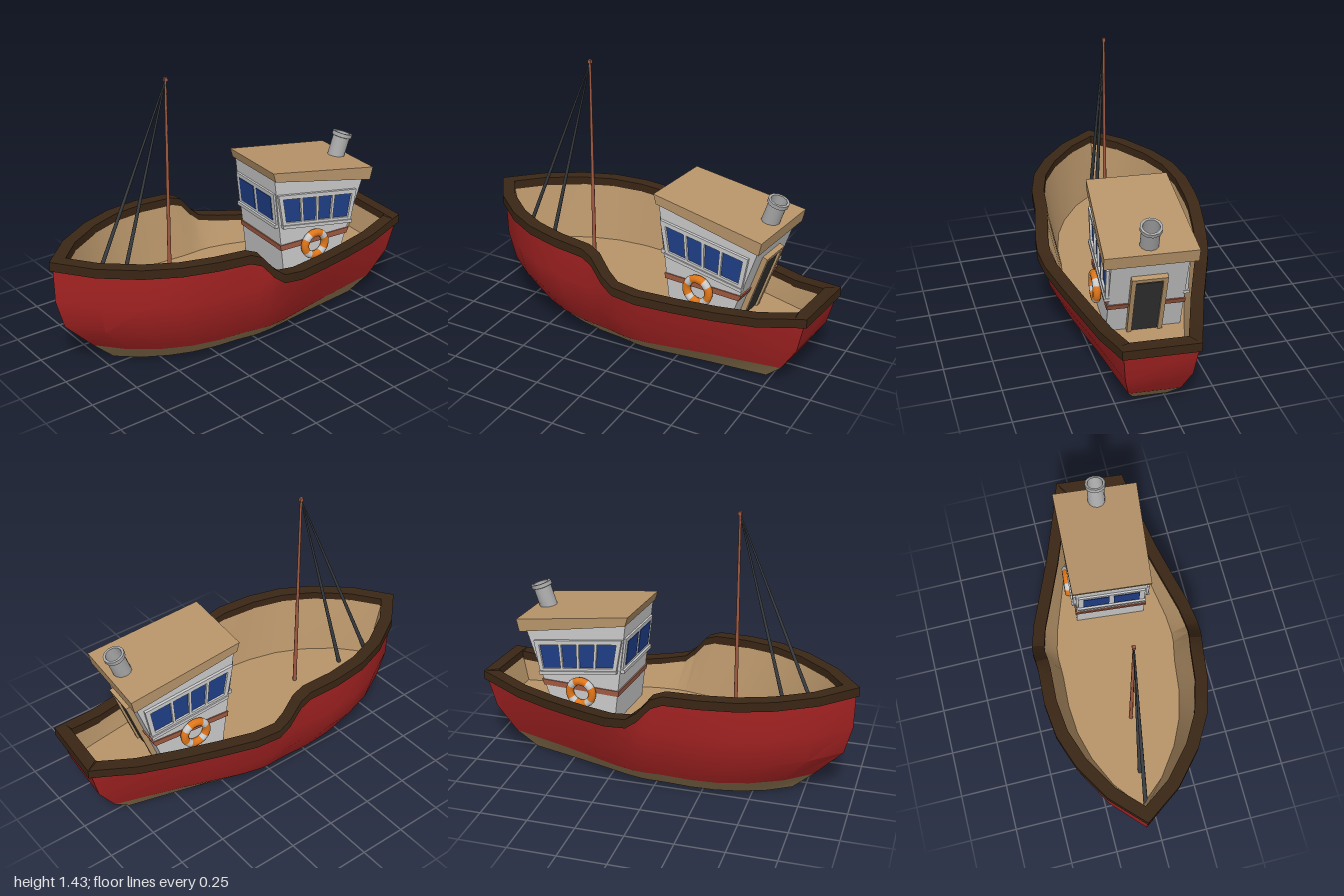
import * as THREE from 'three';
import { toCreasedNormals } from 'three/addons/utils/BufferGeometryUtils.js';

const paint = (color, side = THREE.FrontSide) => new THREE.MeshStandardMaterial({ color, side });
const RED = paint(0xa82323), TAN = paint(0xb8956a), KEEL = paint(0x9a8058), DARK = paint(0x3a2615);
const GREY = paint(0xcccccc), PALE = paint(0xdddddd), BLUE = paint(0x1f3f88), BROWN = paint(0xa05a42);
const ROPE = paint(0x3a3d40), BLACK = paint(0x333333), ORANGE = paint(0xe0761a);
const METAL = paint(0xaaaaaa, THREE.DoubleSide);

// Half outline of the gunwale, bow to stern: along, half width, height
const STATIONS = [
  [-1.004, 0, .62], [-.85, .18, .62], [-.67, .31, .62], [-.5, .387, .62], [-.32, .423, .617],
  [-.14, .43, .61], [-.08, .437, .585], [-.01, .447, .505], [.05, .447, .46], [.17, .425, .437],
  [.36, .365, .42], [.55, .305, .41], [.75, .25, .415], [.93, .2, .447], [.985, .185, .455],
];

// Closed ring of points: bow, along +z to the stern, back along -z
function ring(bow, stern, width, height) {
  const half = STATIONS.map(([u, v, y]) => new THREE.Vector3(
    bow + (u + 1.004) / 1.989 * (stern - bow), height(y), v * width));
  const other = half.slice(1).reverse().map(p => new THREE.Vector3(p.x, p.y, -p.z));
  return [...half, ...other];
}

// Mitred inward offset of a ring in plan
function inset(points, d, dy = 0) {
  const n = points.length;
  const normal = (a, b) => new THREE.Vector2(b.z - a.z, a.x - b.x).normalize();
  return points.map((p, i) => {
    const a = normal(points[(i + n - 1) % n], p), b = normal(p, points[(i + 1) % n]);
    const m = a.clone().add(b).multiplyScalar(d / (1 + a.dot(b)));
    return new THREE.Vector3(p.x + m.x, p.y + dy, p.z + m.y);
  });
}

// Skin through rings, with optional caps (-1 = first ring downward, 1 = last ring upward)
function loft(rings, cap = 0) {
  const n = rings[0].length, index = [];
  for (let k = 0; k < rings.length - 1; k++) for (let i = 0; i < n; i++) {
    const j = (i + 1) % n, a = k * n + i, b = k * n + j;
    index.push(a, b, b + n, a, b + n, a + n);
  }
  const base = cap > 0 ? (rings.length - 1) * n : 0;
  if (cap) for (let i = 1; i < n - 1; i++) {
    if (cap > 0) index.push(base, base + i, base + i + 1);
    else index.push(base, base + i + 1, base + i);
  }
  const geo = new THREE.BufferGeometry().setFromPoints(rings.flat());
  geo.setIndex(index);
  return toCreasedNormals(geo, .45);
}

function add(parent, name, geo, mat, x = 0, y = 0, z = 0, rz = 0) {
  const mesh = new THREE.Mesh(geo, mat);
  mesh.name = name;
  mesh.position.set(x, y, z);
  mesh.rotation.z = rz;
  parent.add(mesh);
  return mesh;
}

const box = (x, y, z) => new THREE.BoxGeometry(x, y, z);

// Side profile extruded evenly about z = 0
function slab(points, depth, holes = []) {
  const toV = list => list.map(p => new THREE.Vector2(...p));
  const shape = new THREE.Shape(toV(points));
  holes.forEach(h => shape.holes.push(new THREE.Path(toV(h))));
  return new THREE.ExtrudeGeometry(shape, { depth, bevelEnabled: false }).translate(0, 0, -depth / 2);
}

// Round bar between two points
function bar(parent, name, from, to, r0, r1, mat) {
  const a = new THREE.Vector3(...from), b = new THREE.Vector3(...to), d = b.clone().sub(a);
  const m = add(parent, name, new THREE.CylinderGeometry(r1, r0, d.length(), 8), mat);
  m.position.copy(a).add(b).multiplyScalar(.5);
  m.quaternion.setFromUnitVectors(new THREE.Vector3(0, 1, 0), d.normalize());
}

function buildHull(boat) {
  const waterline = ring(-.8, .835, .69, () => .1);
  add(boat, 'keel', loft([ring(-.69, .735, .46, () => 0), waterline], -1), KEEL);
  add(boat, 'hull', loft([
    waterline,
    ring(-.945, .93, .87, () => .25),
    ring(-.985, .965, .945, y => Math.min(.4, y - .06)),
    ring(-.988, .972, .97, y => y - .03),
  ]), RED);

  // Rail cap around the gunwale
  const top = ring(-1.004, .985, 1, y => y);
  const outer = inset(top, 0, -.048), inner = inset(top, .065, -.048);
  add(boat, 'rail', loft([outer, top, inset(top, .065), inner, outer]), DARK);

  // Inner bulwark and deck
  const deck = ring(-.85, .89, .71, () => .28);
  add(boat, 'deck', loft([inset(top, .06, -.02), deck], 1), TAN);
}

function buildLifeRing(parent, z) {
  const group = new THREE.Group();
  group.name = 'lifeRing';
  group.position.set(.4, .44, z);
  for (let i = 0; i < 4; i++) {
    const white = .5, orange = Math.PI / 2 - white, start = i * Math.PI / 2 + Math.PI / 4 - white / 2;
    add(group, 'ringBand', new THREE.TorusGeometry(.063, .021, 10, 4, white), PALE, 0, 0, 0, start);
    add(group, 'ringFloat', new THREE.TorusGeometry(.063, .021, 10, 8, orange), ORANGE, 0, 0, 0, start + white);
  }
  parent.add(group);
}

function buildCabin(boat) {
  const cabin = new THREE.Group();
  cabin.name = 'wheelhouse';
  boat.add(cabin);
  add(cabin, 'walls', slab([[.225, .28], [.56, .28], [.72, .75], [.155, .85]], .37), GREY);
  add(cabin, 'stripe', slab([[.199, .44], [.62, .44], [.633, .47], [.195, .47]], .382), BROWN);

  // Roof, slightly wider aft
  const roof = slab([[.15, .842], [.735, .735], [.75, .802], [.135, .892]], 2);
  const pos = roof.attributes.position;
  for (let i = 0; i < pos.count; i++)
    pos.setZ(i, pos.getZ(i) * THREE.MathUtils.mapLinear(pos.getX(i), .135, .75, .203, .225));
  roof.computeVertexNormals();
  add(cabin, 'roof', roof, TAN);

  // Side windows: four panes in a sloping frame
  const [A, B, C, D] = [[.205, .58], [.637, .512], [.668, .685], [.172, .76]];
  const lerp = THREE.MathUtils.lerp;
  const at = (s, t) => [0, 1].map(k => lerp(lerp(A[k], B[k], s), lerp(D[k], C[k], s), t));
  const panes = [[.05, .27], [.3, .48], [.51, .69], [.72, .95]].map(
    ([s, e]) => [at(s, .12), at(e, .12), at(e, .87), at(s, .87)]);
  for (const side of [-1, 1]) {
    add(cabin, 'sideWindowFrame', slab([A, B, C, D], .02, panes), PALE, 0, 0, side * .19);
    panes.forEach(p => add(cabin, 'sidePane', slab(p, .006), BLUE, 0, 0, side * .186));
    add(cabin, 'sideSill', slab([at(-.01, -.06), at(1.01, -.06), at(1.01, .04), at(-.01, .04)], .03),
      PALE, 0, 0, side * .192);
    buildLifeRing(cabin, side * .21);
  }

  // Forward windows
  add(cabin, 'frontWindowFrame', box(.02, .18, .35), PALE, .176, .675, 0, .122);
  add(cabin, 'frontSill', box(.035, .02, .36), PALE, .184, .582, 0, .122);
  for (const z of [-.08, .08])
    add(cabin, 'frontPane', box(.026, .135, .135), BLUE, .176, .675, z, .122);

  // Door in the sloping aft wall
  add(cabin, 'doorway', box(.03, .36, .13), BLACK, .617, .446, 0, -.328);
  for (const z of [-.076, .076])
    add(cabin, 'doorPost', box(.05, .39, .022), TAN, .625, .465, z, -.328);
  add(cabin, 'doorLintel', box(.05, .022, .174), TAN, .686, .645, 0, -.328);

  // Funnel with rim
  const funnel = new THREE.Group();
  funnel.name = 'funnel';
  funnel.position.set(.668, .79, 0);
  funnel.rotation.z = -.33;
  cabin.add(funnel);
  const pipe = [[.046, -.02], [.046, .125], [.054, .128], [.054, .148], [.041, .148], [.041, .03], [0, .03]];
  const lathe = new THREE.LatheGeometry(pipe.map(p => new THREE.Vector2(...p)), 12);
  add(funnel, 'funnelPipe', toCreasedNormals(lathe, .6), METAL);
}

function buildRigging(boat) {
  const u = -.365, v = .02;
  bar(boat, 'mast', [u, .28, v], [u, 1.42, v], .011, .006, BROWN);
  add(boat, 'mastTip', box(.017, .018, .017), BROWN, u, 1.422, v);
  for (const foot of [-.85, -.665])
    bar(boat, 'stay', [foot, .28, v], [u - .003, 1.41, v], .012, .004, ROPE);
}

export function createModel() {
  const model = new THREE.Group();
  model.name = 'fishingBoat';
  const boat = new THREE.Group();
  boat.name = 'boat';
  boat.rotation.y = -.09;
  model.add(boat);
  buildHull(boat);
  buildCabin(boat);
  buildRigging(boat);
  return model;
}
